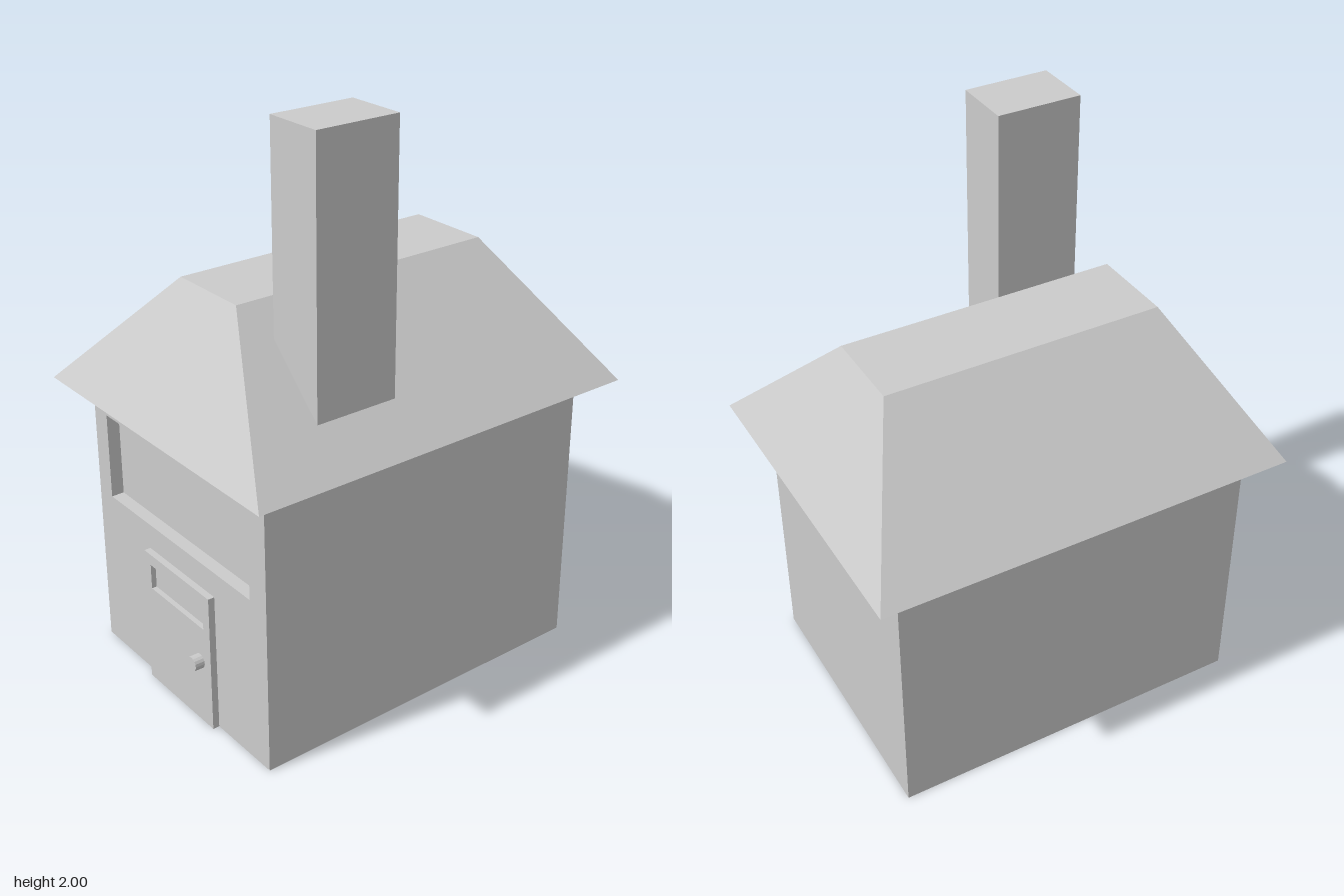
import * as THREE from 'three';
import { ConvexGeometry } from 'three/addons/geometries/ConvexGeometry.js';

const material = new THREE.MeshStandardMaterial({ color: 0xcccccc, flatShading: true });

export function createModel() {
  const house = new THREE.Group();
  house.name = 'house';

  const add = (name, geometry, parent = house) => {
    const mesh = new THREE.Mesh(geometry, material);
    mesh.name = name;
    parent.add(mesh);
    return mesh;
  };

  // Box given by its limits on each axis
  const box = (name, [x0, x1], [y0, y1], [z0, z1], parent) => {
    const mesh = add(name, new THREE.BoxGeometry(x1 - x0, y1 - y0, z1 - z0), parent);
    mesh.position.set((x0 + x1) / 2, (y0 + y1) / 2, (z0 + z1) / 2);
    return mesh;
  };

  const trace = (path, [x0, x1], [y0, y1]) =>
    path.moveTo(x0, y0).lineTo(x1, y0).lineTo(x1, y1).lineTo(x0, y1).closePath();

  // Slab whose front face has a rectangular recess, as one closed surface
  const recessedSlab = (name, xs, ys, [z0, z1], holeX, holeY, depth) => {
    const group = new THREE.Group();
    group.name = name;
    house.add(group);
    const outline = new THREE.Shape();
    trace(outline, xs, ys);
    const hole = new THREE.Path();
    trace(hole, holeX, holeY);
    outline.holes.push(hole);
    const face = new THREE.ExtrudeGeometry(outline, { depth, bevelEnabled: false });
    add(name + 'Frame', face, group).position.z = z1 - depth;
    box(name + 'Backing', xs, ys, [z0, z1 - depth], group);
  };

  // Walls around a hollow room, open underneath
  const wallY = [0, 0.975];
  box('backWall', [-0.475, 0.49], wallY, [-0.625, -0.475]);
  box('rightWall', [-0.475, -0.315], wallY, [-0.475, 0.49]);
  box('leftWall', [0.33, 0.49], wallY, [-0.475, 0.49]);
  recessedSlab('frontWall', [-0.475, 0.49], wallY, [0.49, 0.645], [-0.4, 0.405], [0.585, 0.89], 0.045);

  // Door with a small recessed pane and a round knob
  recessedSlab('door', [-0.165, 0.21], [0, 0.495], [0.64, 0.668], [-0.13, 0.175], [0.365, 0.455], 0.018);
  const knob = add('doorKnob', new THREE.CylinderGeometry(0.025, 0.025, 0.04, 16).rotateX(Math.PI / 2));
  knob.position.set(0.15, 0.235, 0.682);

  // Hipped roof with a flat ridge
  const corners = [];
  for (const [x0, x1, y, z] of [[-0.587, 0.587, 0.985, 0.73], [-0.155, 0.145, 1.415, 0.487]])
    for (const x of [x0, x1])
      for (const s of [-1, 1]) corners.push(new THREE.Vector3(x, y, s * z));
  add('roof', new ConvexGeometry(corners));

  // Chimney rising through the left slope
  box('chimney', [0.24, 0.45], [1.05, 2], [0.125, 0.42]);

  return house;
}
